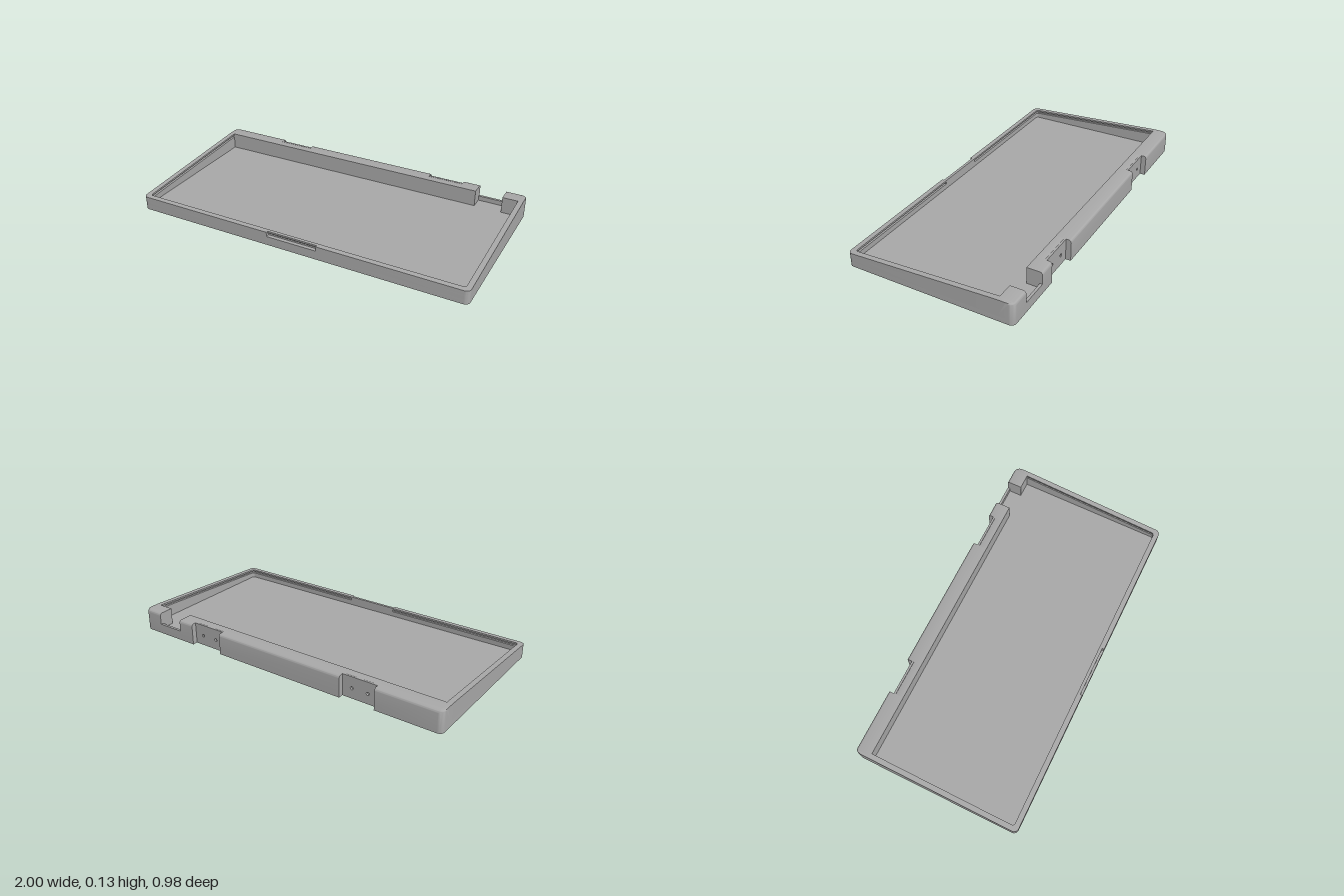
import * as THREE from 'three';
import { toCreasedNormals } from 'three/addons/utils/BufferGeometryUtils.js';

const W = 1, D = 0.49, R = 0.028;          // half width, half depth, corner radius
const FLOOR = 0.03, TOP = 0.127, FRONT = 0.08;
const WALL = 0.03, BACK_IN = -0.4, RECESS = -0.46;
const THUMB = 0.153;
const recesses = [[-0.62, -0.41], [0.41, 0.62]];

const rimTop = z => FRONT + (D - z) * (TOP - FRONT) / (D - BACK_IN);

export function createModel() {
  const group = new THREE.Group();
  const grey = new THREE.MeshStandardMaterial({ color: 0xa8a8a8 });
  grey.name = 'matt grey';

  const add = (name, geometry) => {
    const mesh = new THREE.Mesh(toCreasedNormals(geometry, 0.6), grey);
    mesh.name = name;
    group.add(mesh);
  };

  // Quarter circle in plan, from angle a to b
  const arc = (cx, cz, r, a, b, n = 8) => Array.from({ length: n + 1 }, (_, i) => {
    const t = a + (b - a) * i / n;
    return [cx + r * Math.cos(t), cz + r * Math.sin(t)];
  });

  // Upright solid on a plan outline [x, z], between two height rules
  const upright = (plan, low, high) => {
    const shape = new THREE.Shape(plan.map(([x, z]) => new THREE.Vector2(x, -z)));
    const g = new THREE.ExtrudeGeometry(shape, { depth: 1, bevelEnabled: false });
    g.rotateX(-Math.PI / 2);
    const p = g.attributes.position;
    for (let i = 0; i < p.count; i++) {
      const z = p.getZ(i);
      p.setY(i, p.getY(i) > 0.5 ? high(z) : low(z));
    }
    return g;
  };

  // Floor plate with rounded corners and two notches at the back
  const H = Math.PI / 2;
  const plan = [
    ...arc(W - R, D - R, R, H, 0),
    ...arc(W - R, -D + R, R, 0, -H),
  ];
  for (const [a, b] of [...recesses].reverse()) {
    plan.push([b, -D], [b, RECESS], [a, RECESS], [a, -D]);
  }
  plan.push(...arc(-W + R, -D + R, R, -H, -2 * H), ...arc(-W + R, D - R, R, 2 * H, H));
  add('floorPlate', upright(plan, () => 0, () => FLOOR));

  // Sloping side and front walls, with a shallow groove under the inner rim
  const layers = [
    ['wall', 0, () => FLOOR, z => rimTop(z) - 0.022],
    ['wallGroove', 0.014, z => rimTop(z) - 0.022, z => rimTop(z) - 0.01],
    ['wallRim', 0, z => rimTop(z) - 0.01, rimTop],
  ];
  for (const side of [-1, 1]) {
    for (const [name, cut, low, high] of layers) {
      const ix = W - WALL + cut, iz = D - WALL + cut, r = 0.015;
      const outline = [
        [THUMB, D],
        ...arc(W - R, D - R, R, H, 0),
        [W, BACK_IN], [ix, BACK_IN],
        ...arc(ix - r, iz - r, r, 0, H, 5),
        [THUMB, iz],
      ].map(([x, z]) => [x * side, z]);
      add((side > 0 ? 'left' : 'right') + name[0].toUpperCase() + name.slice(1), upright(outline, low, high));
    }
  }

  // Middle of the front wall with an undercut thumb catch
  const catchProfile = [
    [0.46, FLOOR], [D, FLOOR], [D, 0.053], [0.468, 0.053], [0.468, 0.062],
    [0.478, 0.071], [0.478, rimTop(0.478)], [0.46, rimTop(0.46)],
  ];
  const catchGeo = new THREE.ExtrudeGeometry(
    new THREE.Shape(catchProfile.map(([z, y]) => new THREE.Vector2(-z, y))),
    { depth: 2 * THUMB, bevelEnabled: false });
  catchGeo.rotateY(H).translate(-THUMB, 0, 0);
  add('thumbCatch', catchGeo);

  // Rear block section: rounded top back edge, following the plan corners
  const rearBlock = (xa, xb, back = -D, f = 0.016) => {
    const xs = [xa, xb];
    for (let i = 0; i <= 8; i++) {
      const x = W - R + R * Math.sin(H * i / 8);
      for (const s of [-x, x]) if (s > xa + 1e-6 && s < xb - 1e-6) xs.push(s);
    }
    xs.sort((a, b) => a - b);
    const loops = xs.map(x => {
      const over = Math.max(0, Math.abs(x) - (W - R));
      const zb = back + R - Math.sqrt(Math.max(0, R * R - over * over));
      const pts = [[BACK_IN, FLOOR], [BACK_IN, TOP]];
      for (let i = 0; i <= 6; i++) {
        const t = H * i / 6;
        pts.push([zb + f - f * Math.sin(t), TOP - f + f * Math.cos(t)]);
      }
      pts.push([zb, FLOOR]);
      return pts.map(([z, y]) => [x, y, z]);
    });
    const pos = [], n = loops[0].length;
    const tri = (a, b, c) => pos.push(...a, ...b, ...c);
    for (let i = 0; i < loops.length - 1; i++) {
      for (let k = 0; k < n; k++) {
        const a = loops[i][k], b = loops[i][(k + 1) % n];
        const d = loops[i + 1][k], c = loops[i + 1][(k + 1) % n];
        tri(a, d, c);
        tri(a, c, b);
      }
    }
    const first = loops[0], last = loops[loops.length - 1];
    for (let k = 1; k < n - 1; k++) {
      tri(first[0], first[k], first[k + 1]);
      tri(last[0], last[k + 1], last[k]);
    }
    const g = new THREE.BufferGeometry();
    g.setAttribute('position', new THREE.Float32BufferAttribute(pos, 3));
    return g;
  };
  add('rearBlockRight', rearBlock(-W, -0.62));
  add('rearBlockMiddle', rearBlock(-0.41, 0.41));
  add('rearBlockLeft', rearBlock(0.62, 0.72));
  add('rearCornerPost', rearBlock(0.88, W));

  // Hinge recesses, each faced with a plate that has two screw holes
  for (const [a, b] of recesses) {
    add('hingeBacking', rearBlock(a, b, -0.448, 0.003));
    const face = new THREE.Shape([[a, FLOOR], [b, FLOOR], [b, TOP], [a, TOP]]
      .map(([x, y]) => new THREE.Vector2(x, y)));
    for (const off of [-0.048, 0.048]) {
      face.holes.push(new THREE.Path().absarc((a + b) / 2 + off, 0.06, 0.009, 0, 2 * Math.PI, true));
    }
    const g = new THREE.ExtrudeGeometry(face, { depth: 0.012, bevelEnabled: false, curveSegments: 16 });
    g.translate(0, 0, RECESS);
    add('hingePlate', g);
  }

  // Low lip across the cable opening
  const lip = new THREE.BoxGeometry(0.16, 0.028, 0.015);
  lip.translate(0.8, FLOOR + 0.014, -D + 0.0075);
  add('cableOpeningLip', lip);

  return group;
}
